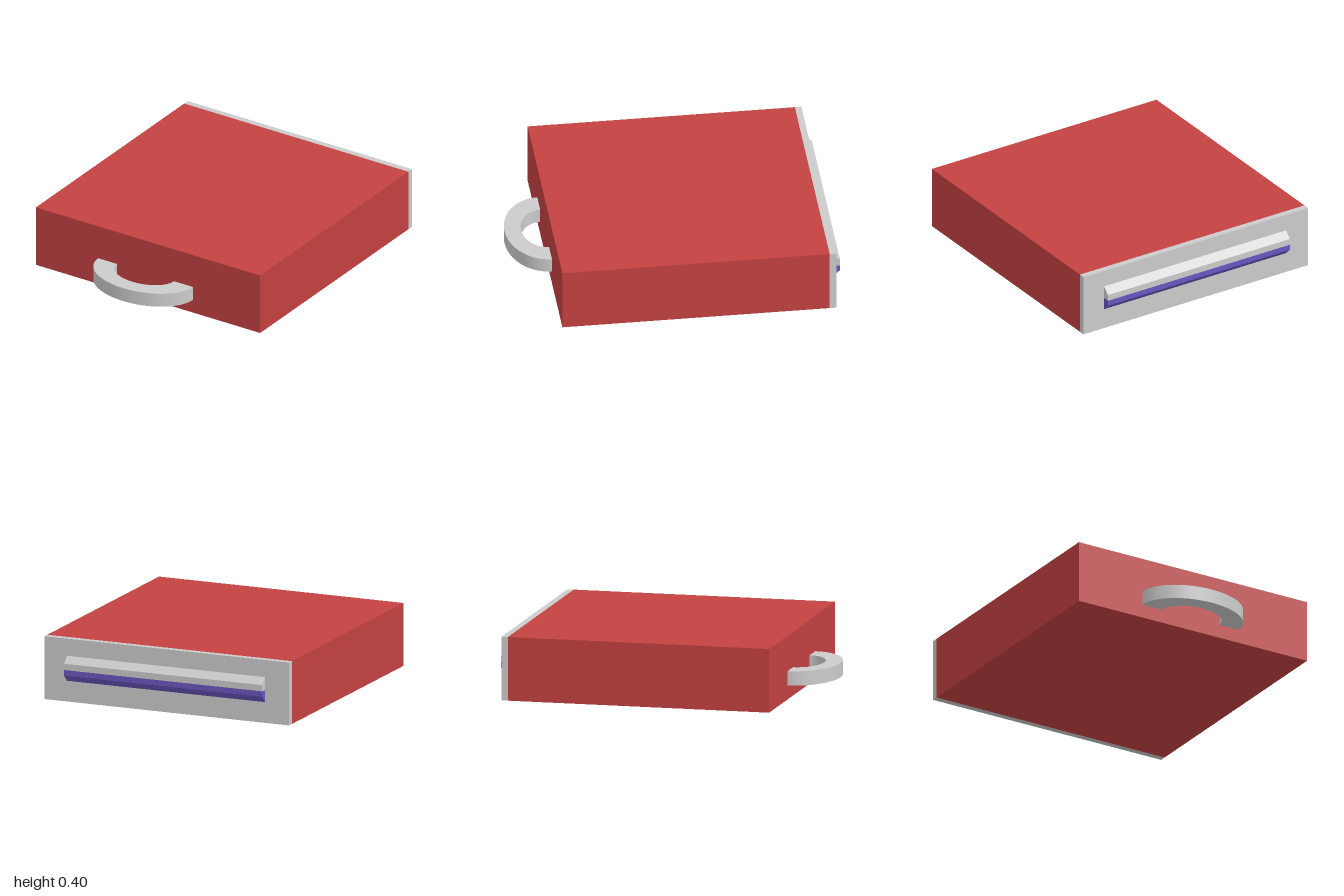
import * as THREE from 'three';
import { toCreasedNormals } from 'three/addons/utils/BufferGeometryUtils.js';

const GREY = 0xcccccc, RED = 0xc44141, PURPLE = 0x6a55c0;

function part(name, geometry, color) {
  const mesh = new THREE.Mesh(geometry, new THREE.MeshStandardMaterial({ color }));
  mesh.name = name;
  return mesh;
}

// Box from its minimum and maximum corners
function box(name, [x0, y0, z0], [x1, y1, z1], color) {
  const mesh = part(name, new THREE.BoxGeometry(x1 - x0, y1 - y0, z1 - z0), color);
  mesh.position.set((x0 + x1) / 2, (y0 + y1) / 2, (z0 + z1) / 2);
  return mesh;
}

// Strip running along x, from a profile of [distance backwards, height] points
function strip(name, profile, color) {
  const shape = new THREE.Shape(profile.map(([b, y]) => new THREE.Vector2(b, y)));
  const geometry = new THREE.ExtrudeGeometry(shape, { depth: 1.345, bevelEnabled: false });
  geometry.rotateY(Math.PI / 2).translate(-0.667, 0, 0);
  return part(name, geometry, color);
}

// Flat half-oval loop with its ends set into the body
function handle() {
  const shape = new THREE.Shape();
  shape.moveTo(0.35, -0.02);
  shape.absellipse(0, 0, 0.35, 0.25, 0, Math.PI, false);
  shape.lineTo(-0.35, -0.02);
  shape.lineTo(-0.21, -0.02);
  shape.absellipse(0, 0, 0.21, 0.147, Math.PI, 0, true);
  shape.lineTo(0.21, -0.02);
  const geometry = new THREE.ExtrudeGeometry(shape, { depth: 0.09, bevelEnabled: false, curveSegments: 24 });
  geometry.rotateX(Math.PI / 2).translate(-0.018, 0.178, 0.75);
  return part('handle', toCreasedNormals(geometry, 0.6), GREY);
}

export function createModel() {
  const group = new THREE.Group();
  group.name = 'case';
  group.add(
    box('body', [-0.83, 0, -0.915], [0.83, 0.4, 0.75], RED),
    box('backPlate', [-0.83, 0, -0.956], [0.83, 0.4, -0.915], GREY),
    // Bevelled connector bar, split into two colours
    strip('connectorUpper', [[0.95, 0.21], [1, 0.21], [1, 0.25], [0.956, 0.291], [0.95, 0.291]], GREY),
    strip('connectorLower', [[0.95, 0.132], [0.956, 0.132], [1, 0.175], [1, 0.21], [0.95, 0.21]], PURPLE),
    handle()
  );
  return group;
}
